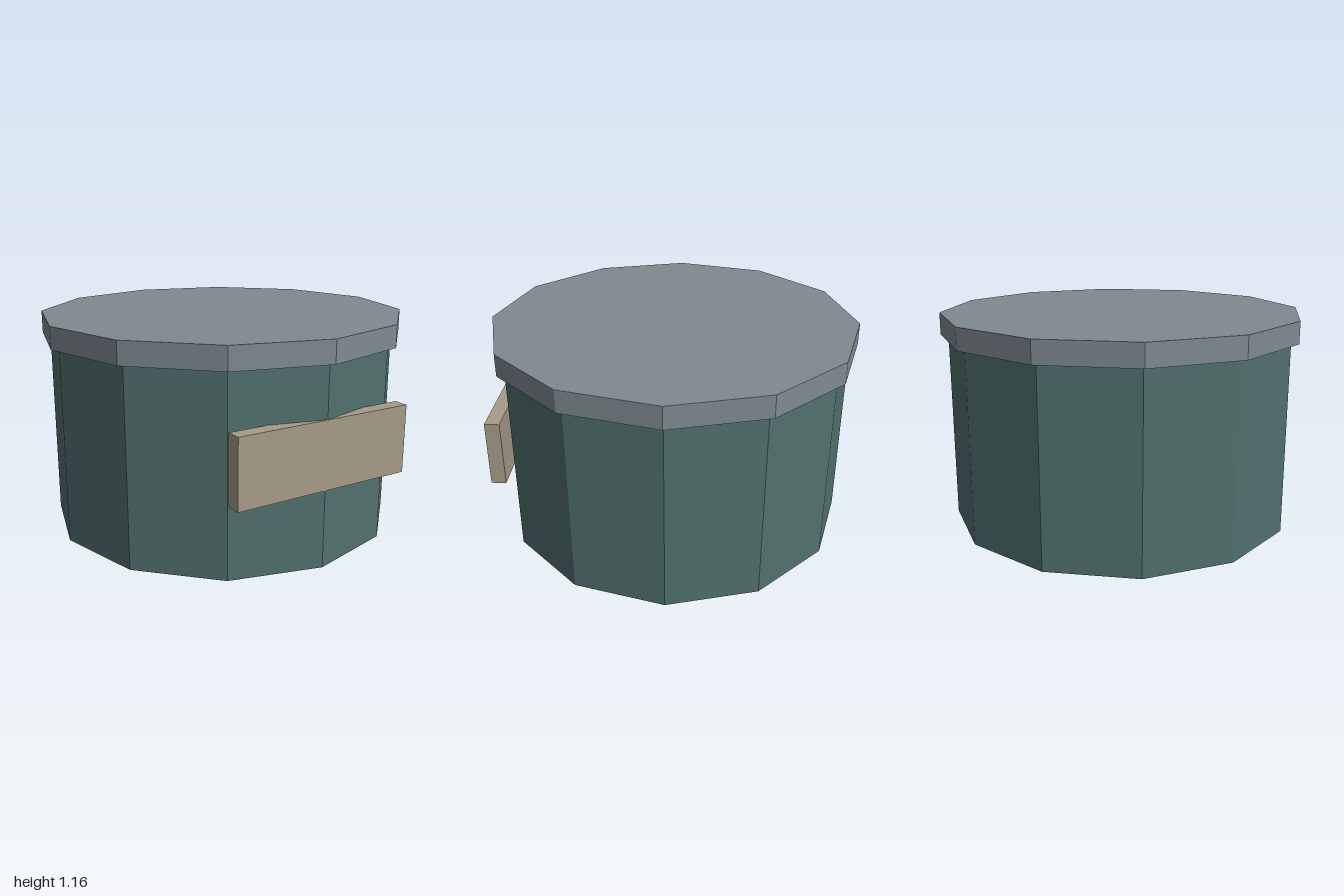
import * as THREE from 'three';

const SIDES = 12;

function mat(name, color) {
  const m = new THREE.MeshStandardMaterial({ color });
  m.name = name;
  m.flatShading = true;
  return m;
}

export function createModel() {
  const group = new THREE.Group();
  group.name = 'canister';

  const add = (name, geometry, material, y, z = 0) => {
    const mesh = new THREE.Mesh(geometry, material);
    mesh.name = name;
    mesh.position.set(0, y, z);
    group.add(mesh);
  };

  // Twelve-sided drum, one corner pointing forward
  add('body', new THREE.CylinderGeometry(0.958, 0.958, 1.045, SIDES), mat('teal', 0x50706d), 0.5225);

  // Slightly wider flat lid
  add('lid', new THREE.CylinderGeometry(1, 1, 0.12, SIDES), mat('slate grey', 0x7f8a90), 1.105);

  // Label plate set across the front corner
  add('label', new THREE.BoxGeometry(1.01, 0.36, 0.08), mat('tan', 0xa69b88), 0.59, 0.92);

  return group;
}
